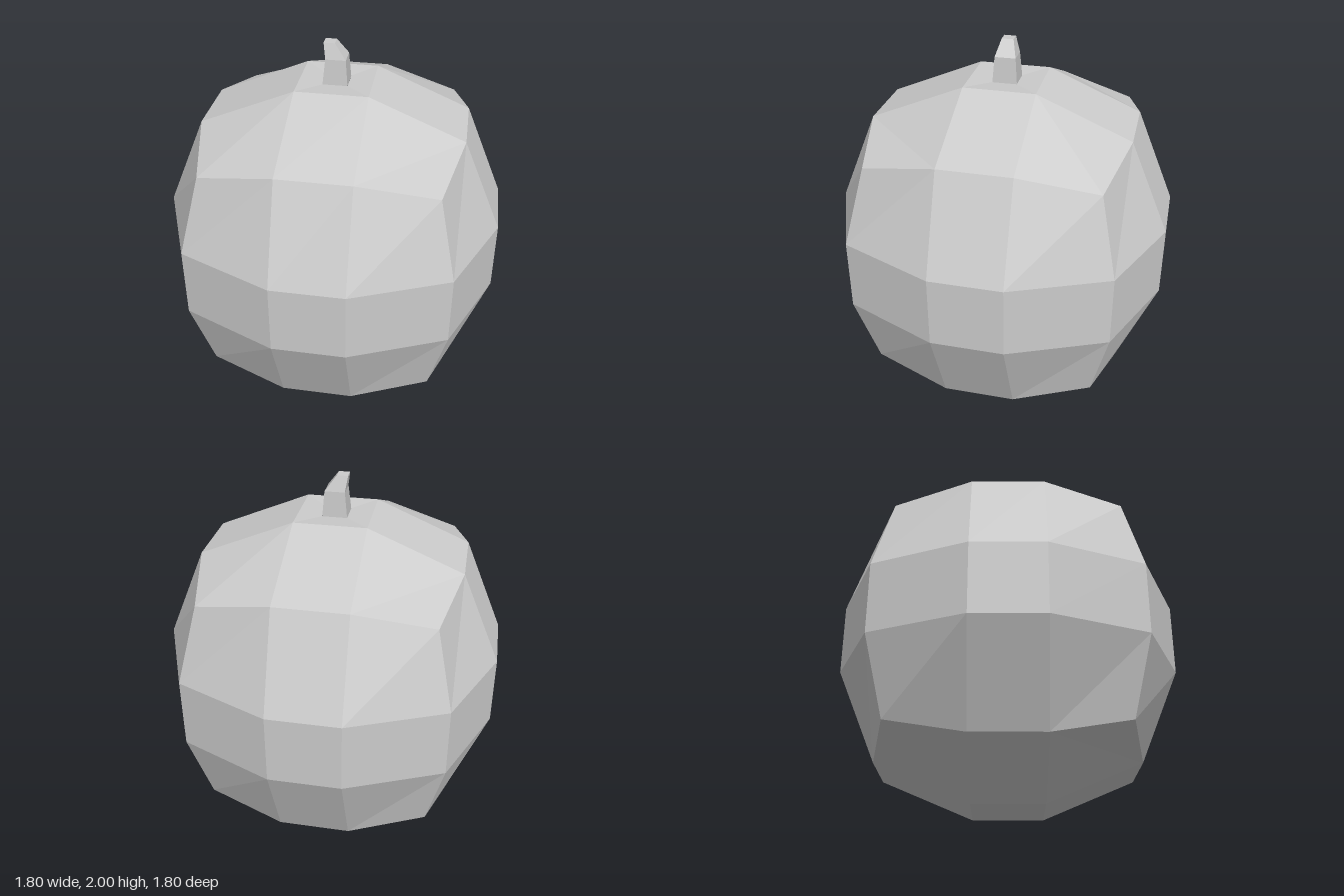
import * as THREE from 'three';

const material = new THREE.MeshStandardMaterial({ color: 0xcccccc, flatShading: true });
const CENTRE_Y = 0.898;

function addMesh(group, name, geometry) {
  const mesh = new THREE.Mesh(geometry, material);
  mesh.name = name;
  group.add(mesh);
}

// Joins rectangular rings [xMin, xMax, zHalf, y] from bottom to top, optionally capped.
function loftRings(rings, capped) {
  const positions = [];
  const corners = rings.map(([x0, x1, z, y]) => [[x0, y, z], [x1, y, z], [x1, y, -z], [x0, y, -z]]);
  const quad = (a, b, c, d) => positions.push(...a, ...b, ...c, ...a, ...c, ...d);
  for (let r = 0; r < corners.length - 1; r++) {
    for (let i = 0; i < 4; i++) {
      const j = (i + 1) % 4;
      quad(corners[r][i], corners[r][j], corners[r + 1][j], corners[r + 1][i]);
    }
  }
  if (capped) quad(...corners[corners.length - 1]);
  const geometry = new THREE.BufferGeometry();
  geometry.setAttribute('position', new THREE.Float32BufferAttribute(positions, 3));
  geometry.computeVertexNormals();
  return geometry;
}

// Rounded body: a 3 x 3 x 3 box whose face, edge and corner points are pulled to a sphere.
function bodyGeometry() {
  const box = new THREE.BoxGeometry(2, 2, 2, 3, 3, 3);
  const reach = [0, 0.898, 0.688, 0.597]; // by how many coordinates are on the outside
  const p = box.attributes.position;
  for (let i = 0; i < p.count; i++) {
    const v = [p.getX(i), p.getY(i), p.getZ(i)];
    const outer = v.filter((c) => Math.abs(c) > 0.9).length;
    const [x, y, z] = v.map((c) => Math.sign(c) * (Math.abs(c) > 0.9 ? reach[outer] : 0.19));
    p.setXYZ(i, x, y + CENTRE_Y, z);
  }
  // Open the middle square of the top, where the dimple sits
  const index = Array.from(box.index.array);
  index.splice(2 * 54 + 4 * 6, 6);
  box.setIndex(index);
  box.clearGroups();
  const geometry = box.toNonIndexed();
  geometry.computeVertexNormals();
  return geometry;
}

export function createModel() {
  const group = new THREE.Group();
  group.name = 'pumpkin';

  addMesh(group, 'body', bodyGeometry());

  // Shallow dimple around the stem
  addMesh(group, 'dimple', loftRings([
    [-0.19, 0.19, 0.19, 2 * CENTRE_Y],
    [-0.065, 0.065, 0.065, 1.787],
  ], false));

  // Square stem, cut off at a slant and leaning to one side
  addMesh(group, 'stem', loftRings([
    [-0.066, 0.064, 0.065, 1.785],
    [-0.052, 0.053, 0.055, 1.92],
    [-0.064, -0.006, 0.031, 2.0],
  ], true));

  return group;
}
